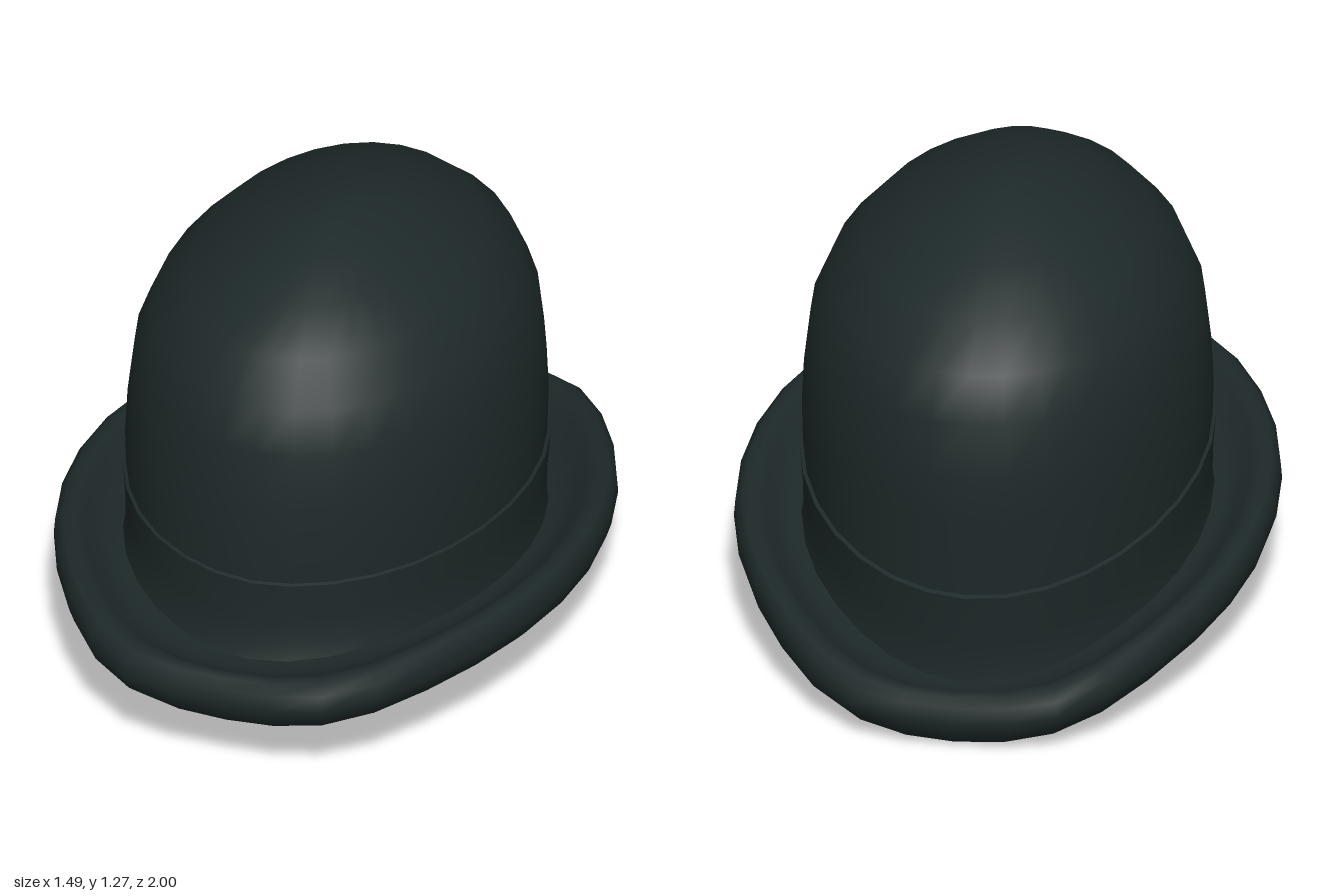
import * as THREE from 'three';
import { mergeVertices } from 'three/addons/utils/BufferGeometryUtils.js';

const SEGMENTS = 32;

// Heights keyed from front (0) to back (PI), the same on both sides
const BRIM_BOTTOM = [0.165, 0.182, 0.203, 0.198, 0.175, 0.142, 0.095, 0.032, 0.002];
const BAND_TOP = [0.488, 0.494, 0.497, 0.494, 0.48, 0.45, 0.41, 0.375, 0.36];

// Smooth curve through the keys, mirrored at both ends
function heightAt(keys, t) {
  const last = keys.length - 1;
  const f = ((t > Math.PI ? 2 * Math.PI - t : t) / Math.PI) * last;
  const i = Math.min(Math.floor(f), last - 1), u = f - i;
  const key = (n) => keys[last - Math.abs(last - Math.abs(n))];
  const slope = (n) => (key(n + 1) - key(n - 1)) / 2;
  const s = u * u * (3 - 2 * u);
  return THREE.MathUtils.lerp(key(i), key(i + 1), s)
    + u * (1 - u) * ((1 - u) * slope(i) - u * slope(i + 1));
}

// Oval with its own front and back lengths
function oval(t, y, halfWidth, front, back) {
  const c = Math.cos(t);
  return [halfWidth * Math.sin(t), y, (c > 0 ? front : back) * c];
}

// Skin a list of rings, each a function of the angle t
function skin(rings) {
  const positions = [], index = [];
  for (const ring of rings)
    for (let j = 0; j < SEGMENTS; j++) positions.push(...ring((j / SEGMENTS) * 2 * Math.PI));
  for (let i = 0; i < rings.length - 1; i++)
    for (let j = 0; j < SEGMENTS; j++) {
      const k = (j + 1) % SEGMENTS;
      const a = i * SEGMENTS + j, b = i * SEGMENTS + k;
      index.push(a, b, b + SEGMENTS, a, b + SEGMENTS, a + SEGMENTS);
    }
  let geometry = new THREE.BufferGeometry();
  geometry.setAttribute('position', new THREE.Float32BufferAttribute(positions, 3));
  geometry.setIndex(index);
  geometry = mergeVertices(geometry, 1e-5);
  geometry.computeVertexNormals();
  return geometry;
}

// Brim ring: d inwards from the outer edge, h above the underside
function brimRing(d, h) {
  return (t) => {
    const c2 = Math.cos(t) ** 2, s2 = Math.sin(t) ** 2;
    const boxy = 1 + 0.65 * c2 ** 3 * s2 * Math.max(0, 1 - d / 0.2);
    const length = 1 - d - 0.7 * Math.max(0, d - 0.1);
    const z = Math.min(length, Math.max(-length, length * Math.cos(t) * boxy));
    return [(0.745 - d) * Math.sin(t), heightAt(BRIM_BOTTOM, t) + h, z];
  };
}

export function createModel() {
  const hat = new THREE.Group();
  hat.name = 'bowlerHat';
  const felt = new THREE.MeshStandardMaterial({ color: 0x1e2929 });
  felt.name = 'dark green felt';

  const add = (name, rings) => {
    const mesh = new THREE.Mesh(skin(rings), felt);
    mesh.name = name;
    hat.add(mesh);
  };

  // Crown: y, half width, front and back reach
  const dome = [
    [0.6, 0.56, 0.725, 0.767],
    [0.73, 0.554, 0.712, 0.762],
    [0.885, 0.536, 0.69, 0.742],
    [1.01, 0.483, 0.647, 0.685],
    [1.115, 0.39, 0.553, 0.562],
    [1.197, 0.262, 0.415, 0.385],
    [1.25, 0.14, 0.25, 0.225],
    [1.273, 0.04, 0.09, 0.07],
    [1.275, 0, 0, 0],
  ];
  add('crown', [
    (t) => oval(t, heightAt(BAND_TOP, t) - 0.02, 0.556, 0.727, 0.755),
    ...dome.map((p) => (t) => oval(t, ...p)),
  ]);

  // Hat band, flared at the foot, with a narrow lip on top
  const bandEdge = (t) => oval(t, heightAt(BAND_TOP, t), 0.566, 0.736, 0.77);
  add('band', [
    (t) => oval(t, heightAt(BRIM_BOTTOM, t) + 0.08, 0.562, 0.765, 0.755),
    (t) => oval(t, heightAt(BRIM_BOTTOM, t) + 0.13, 0.556, 0.746, 0.75),
    (t) => oval(t, heightAt(BRIM_BOTTOM, t) + 0.2, 0.558, 0.737, 0.752),
    bandEdge,
  ]);
  add('bandLip', [
    bandEdge,
    (t) => oval(t, heightAt(BAND_TOP, t) + 0.006, 0.55, 0.72, 0.75),
  ]);

  // Inside of the crown, flowing into the brim's underside, round the
  // rolled edge and down into the channel beside the band
  const brimProfile = [
    [0.185, 0.065], [0.155, 0.042], [0.12, 0.018], [0.085, 0.002], [0.045, 0.012],
    [0.015, 0.045], [0, 0.09], [0.004, 0.138], [0.025, 0.16], [0.055, 0.163],
    [0.085, 0.143], [0.115, 0.112], [0.15, 0.092], [0.19, 0.088], [0.21, 0.09],
  ];
  add('liningAndBrim', [
    ...dome.map(([y, w, f, b]) => (t) => oval(t, y - 0.03, w * 0.96, f * 0.965, b * 0.965)).reverse(),
    (t) => oval(t, heightAt(BAND_TOP, t) - 0.03, 0.54, 0.708, 0.735),
    (t) => oval(t, heightAt(BRIM_BOTTOM, t) + 0.13, 0.542, 0.72, 0.735),
    ...brimProfile.map(([d, h]) => brimRing(d, h)),
  ]);

  return hat;
}
